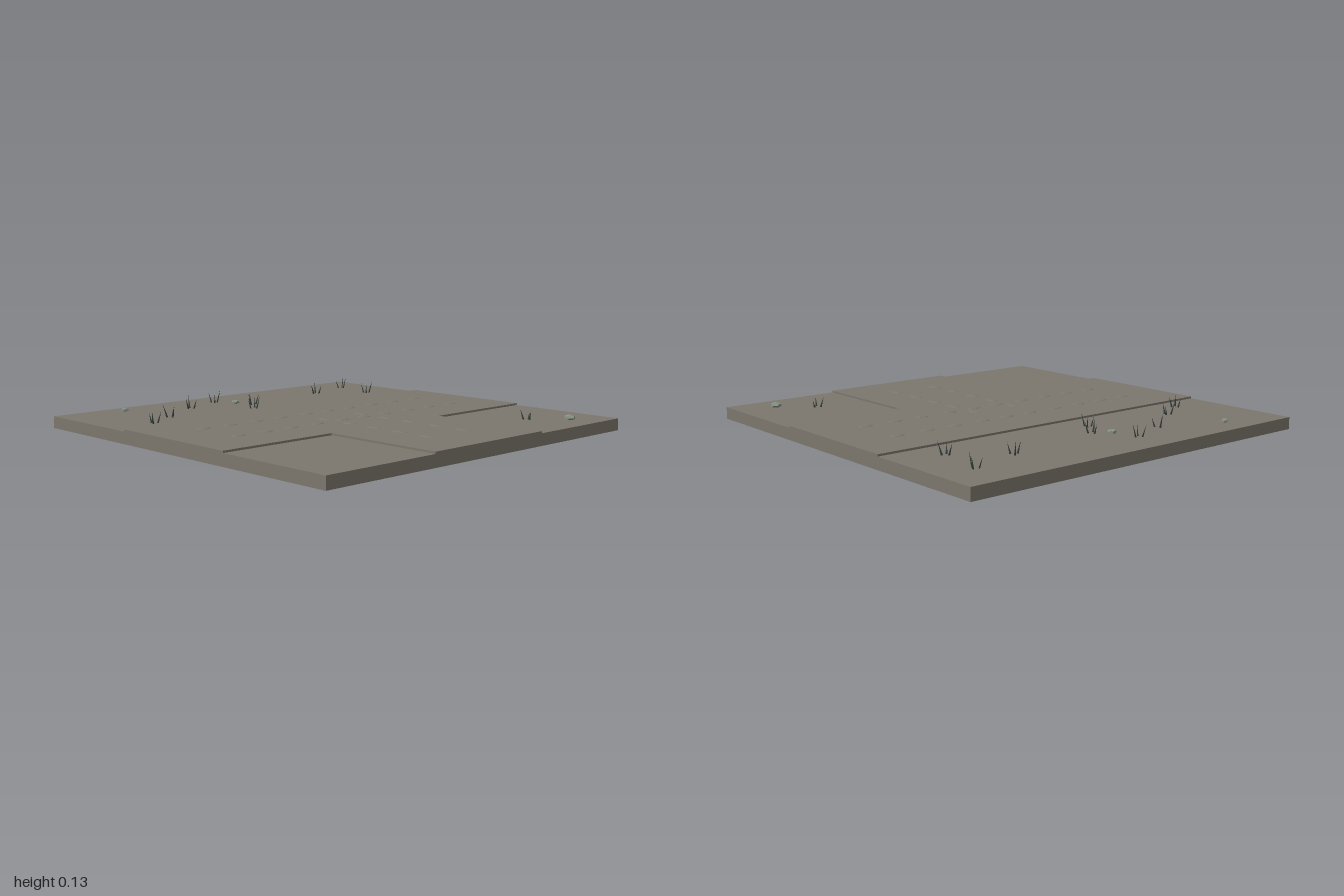
import * as THREE from 'three';

const material = (name, color) => {
  const m = new THREE.MeshStandardMaterial({ color });
  m.name = name;
  return m;
};

export function createModel() {
  const model = new THREE.Group();
  model.name = 'roadJunctionTile';
  const earth = material('earth', 0x7c776d);
  const road = material('road', 0x7c776d);
  const stone = material('stone', 0x879283);
  const grass = material('grass', 0x39443f);

  const add = (name, geometry, mat, x, y, z, parent = model) => {
    const mesh = new THREE.Mesh(geometry, mat);
    mesh.name = name;
    mesh.position.set(x, y, z);
    parent.add(mesh);
    return mesh;
  };

  // Ground slab
  add('groundSlab', new THREE.BoxGeometry(2, 0.06, 2), earth, 0, 0.03, 0);

  // T-shaped road surface, drawn in plan and laid flat
  const w = 0.37;
  const plan = new THREE.Shape([
    [-w, -1], [w, -1], [w, -w], [1, -w], [1, w], [w, w], [w, 1], [-w, 1],
  ].map(([x, y]) => new THREE.Vector2(x, y)));
  const roadGeometry = new THREE.ExtrudeGeometry(plan, { depth: 0.01, bevelEnabled: false });
  roadGeometry.rotateX(-Math.PI / 2);
  add('roadSurface', roadGeometry, road, 0, 0.06, 0);

  // Shallow lumps along the wheel tracks
  const lump = new THREE.SphereGeometry(1, 8, 6).toNonIndexed();
  lump.computeVertexNormals();
  for (const x of [-0.13, 0.13]) {
    for (const z of [-0.73, -0.56, -0.4, -0.23, -0.08, 0.07, 0.24, 0.4, 0.56, 0.72]) {
      add('trackLump', lump, road, x, 0.07, z).scale.set(0.025, 0.005, 0.04);
    }
  }
  for (const z of [-0.13, 0.12]) {
    for (const x of [0.06, 0.23, 0.39, 0.56, 0.73]) {
      add('branchTrackLump', lump, road, x, 0.07, z).scale.set(0.045, 0.005, 0.022);
    }
  }

  // Faceted stones
  const rock = new THREE.DodecahedronGeometry(1, 0);
  for (const [x, z, r] of [[0.85, -0.8, 0.03], [-0.7, 0.07, 0.022], [-0.88, 0.655, 0.02]]) {
    const mesh = add('stone', rock, stone, x, r > 0.025 ? 0.069 : 0.071, z);
    mesh.scale.set(r, r * 0.5, r);
    mesh.rotation.y = x * 3;
  }

  // Tufts of three leaning blades
  const blade = new THREE.ConeGeometry(0.005, 1, 4);
  blade.translate(0, 0.5, 0);
  const tufts = [
    [-0.79, -0.81], [-0.53, -0.76], [-0.71, -0.53], [0.71, -0.64], [-0.63, 0.01],
    [-0.52, 0.09], [-0.82, 0.12], [-0.74, 0.34], [-0.57, 0.59], [-0.47, 0.76],
  ];
  tufts.forEach(([x, z], i) => {
    const tuft = new THREE.Group();
    tuft.name = 'grassTuft';
    tuft.position.set(x, 0.06, z);
    tuft.rotation.y = i * 1.3;
    model.add(tuft);
    for (let k = 0; k < 3; k++) {
      const a = k * 2.1;
      const mesh = add('grassBlade', blade, grass, Math.cos(a) * 0.018, 0, Math.sin(a) * 0.018, tuft);
      mesh.scale.y = [0.07, 0.05, 0.06][k] * (i === 3 ? 0.8 : 1);
      mesh.rotation.set(Math.sin(a) * 0.3, 0, -Math.cos(a) * 0.3);
    }
  });
  return model;
}
